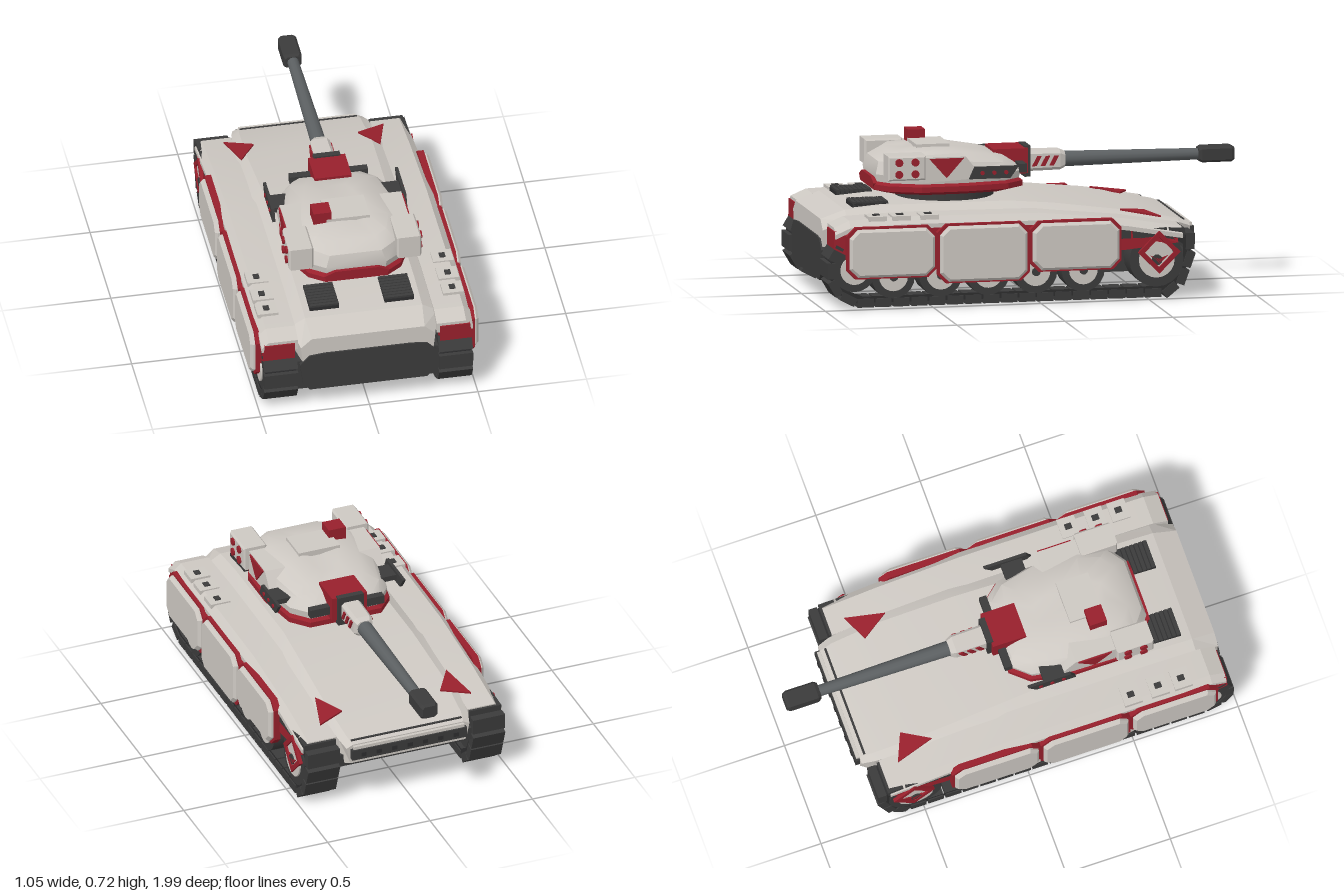
import * as THREE from 'three';
import { toCreasedNormals } from 'three/addons/utils/BufferGeometryUtils.js';

const mat = (name, color) => {
  const m = new THREE.MeshStandardMaterial({ color });
  m.name = name;
  return m;
};

// Skin a list of rings of [x,y,z] points and cap both ends, facing outward
function loft(rings, crease = 0.2) {
  const tris = [], n = rings[0].length, last = rings[rings.length - 1];
  for (let i = 0; i < rings.length - 1; i++) {
    for (let j = 0; j < n; j++) {
      const k = (j + 1) % n, a = rings[i], b = rings[i + 1];
      tris.push([a[j], a[k], b[k]], [a[j], b[k], b[j]]);
    }
  }
  for (let j = 1; j < n - 1; j++) {
    tris.push([rings[0][0], rings[0][j + 1], rings[0][j]], [last[0], last[j], last[j + 1]]);
  }
  let volume = 0;
  for (const [a, b, c] of tris) {
    volume += new THREE.Vector3(...a).dot(new THREE.Vector3(...b).cross(new THREE.Vector3(...c)));
  }
  if (volume < 0) tris.forEach((t) => t.reverse());
  const g = new THREE.BufferGeometry();
  g.setAttribute('position', new THREE.Float32BufferAttribute(tris.flat(2), 3));
  g.computeVertexNormals();
  return toCreasedNormals(g, crease);
}

// Half outline of [x,...rest] points closed by its mirror image
const both = (half) => [...half, ...half.slice().reverse().map(([x, ...r]) => [-x, ...r])];

function box(x0, x1, y0, y1, z0, z1) {
  return new THREE.BoxGeometry(x1 - x0, y1 - y0, z1 - z0)
    .translate((x0 + x1) / 2, (y0 + y1) / 2, (z0 + z1) / 2);
}

// Plate drawn as [z,y] points, thick along x from x0
function sidePlate(pts, x0, depth, holePts, bevel = 0) {
  const s = new THREE.Shape(pts.map((p) => new THREE.Vector2(...p)));
  if (holePts) s.holes.push(new THREE.Path(holePts.map((p) => new THREE.Vector2(...p))));
  return new THREE.ExtrudeGeometry(s, {
    depth: depth - bevel, bevelEnabled: bevel > 0, bevelSize: bevel, bevelThickness: bevel,
    bevelOffset: -bevel, bevelSegments: 1, curveSegments: 8,
  }).rotateY(-Math.PI / 2).translate(x0 + depth - bevel, 0, 0);
}

const octagon = (z0, z1, y0, y1, c) => [
  [z0 + c, y0], [z1 - c, y0], [z1, y0 + c], [z1, y1 - c],
  [z1 - c, y1], [z0 + c, y1], [z0, y1 - c], [z0, y0 + c]];

const disc = (r, x0, x1, y, z, n = 20) => new THREE.CylinderGeometry(r, r, x1 - x0, n)
  .rotateZ(Math.PI / 2).translate((x0 + x1) / 2, y, z);

function mirrored(geo) {
  const g = geo.index ? geo.toNonIndexed() : geo.clone();
  g.scale(-1, 1, 1);
  for (const key of Object.keys(g.attributes)) {
    const a = g.attributes[key].array, s = g.attributes[key].itemSize;
    for (let i = 0; i < a.length; i += 3 * s) {
      for (let k = 0; k < s; k++) [a[i + s + k], a[i + 2 * s + k]] = [a[i + 2 * s + k], a[i + s + k]];
    }
  }
  return g;
}

export function createModel() {
  const light = mat('pale grey', 0xcdc8c2), red = mat('crimson', 0x98202c);
  const dark = mat('charcoal', 0x3b3b3b), rubber = mat('track black', 0x2d2d2e);
  const metal = mat('gun metal', 0x5c6062);
  const model = new THREE.Group();
  model.name = 'tank';
  const add = (name, geo, m) => {
    const mesh = new THREE.Mesh(geo, m);
    mesh.name = name;
    model.add(mesh);
  };
  const pair = (name, geo, m) => {
    add(name + 'Left', geo, m);
    add(name + 'Right', mirrored(geo), m);
  };

  // Hull: z, top y, top half width, shoulder y, half width, lower y, lower half width
  const hull = [
    [0.97, 0.385, 0.26, 0.34, 0.31, 0.25, 0.30], [0.86, 0.425, 0.27, 0.385, 0.34, 0.25, 0.32],
    [0.68, 0.44, 0.27, 0.39, 0.35, 0.24, 0.32], [0.1, 0.44, 0.27, 0.39, 0.35, 0.24, 0.32],
    [-0.1, 0.425, 0.28, 0.39, 0.35, 0.24, 0.32], [-0.45, 0.38, 0.29, 0.36, 0.34, 0.22, 0.32],
    [-0.68, 0.335, 0.28, 0.32, 0.315, 0.2, 0.31], [-0.735, 0.315, 0.27, 0.30, 0.30, 0.22, 0.28]];
  add('hull', loft(hull.map(([z, yt, xt, ys, xs, yl, xl]) =>
    both([[xt, yt, z], [xs, ys, z], [xl, yl, z]]))), light);
  add('belly', loft([[0.96, 0.105, 0.26], [-0.52, 0.105, 0.26], [-0.7, 0.19, 0.25]].map(([z, a, b]) =>
    both([[0.325, b, z], [0.325, a, z]]))), dark);
  const rear = both([[0.2, 0.302], [0.27, 0.295], [0.315, 0.25], [0.30, 0.14], [0.27, 0.107]]);
  add('rearPlate', loft([rear.map(([x, y]) => [x, y, 0.95]), rear.map(([x, y]) => [x, y, 0.978])]), dark);
  add('noseLightBar', box(-0.28, 0.28, 0.245, 0.295, -0.757, -0.72), dark);
  for (let i = -3; i <= 3; i++) add('noseLamp', box(i * 0.075 - 0.012, i * 0.075 + 0.012, 0.26, 0.28, -0.762, -0.755), rubber);
  add('noseLip', box(-0.27, 0.27, 0.295, 0.31, -0.75, -0.72), light);
  add('noseSlot', box(-0.27, 0.27, 0.318, 0.327, -0.716, -0.706), dark);

  // Fenders over the tracks, with red flanks beneath
  const fender = [[0.95, 0.375], [0.88, 0.405], [0.6, 0.415], [0, 0.41], [-0.4, 0.37], [-0.66, 0.325]];
  pair('fender', loft(fender.map(([z, t]) => [
    [0.32, t - 0.05, z], [0.32, t, z], [0.455, t, z], [0.487, t - 0.03, z], [0.487, t - 0.05, z]])), light);
  pair('flank', loft([[0.955, 0.36, 0.28], [0.9, 0.37, 0.25], [0, 0.37, 0.24], [-0.4, 0.325, 0.23],
    [-0.64, 0.28, 0.255]].map(([z, t, b]) => [[0.335, b, z], [0.335, t, z], [0.473, t, z], [0.482, b, z]])), red);
  pair('hullTriangle', loft([0, -0.008].map((d) => [
    [0.368, 0.362 + d, -0.585], [0.24, 0.374 + d, -0.53], [0.32, 0.392 + d, -0.405]])), red);
  for (const z of [0.51, 0.64, 0.75]) {
    pair('fenderHatch', box(0.38, 0.475, 0.40, 0.421, z - 0.042, z + 0.042), light);
    pair('hatchVent', box(0.415, 0.442, 0.415, 0.426, z - 0.016, z + 0.016), dark);
  }

  // Engine grilles
  for (let i = 0; i < 8; i++) {
    pair('grilleSlat', box(0.105, 0.24, 0.43, 0.453, 0.652 + i * 0.021, 0.668 + i * 0.021), dark);
  }
  pair('grilleBed', box(0.105, 0.24, 0.42, 0.445, 0.65, 0.818), rubber);

  // Tracks: a belt with separate pads along the same path
  const path = [[0.85, 0.028], [-0.59, 0.028], [-0.655, 0.08], [-0.695, 0.19], [-0.697, 0.27], [-0.66, 0.3],
    [-0.58, 0.305], [0.88, 0.275], [0.94, 0.265], [0.967, 0.22], [0.965, 0.13], [0.93, 0.07]];
  const inset = path.map(([z, y]) => [0.14 + (z - 0.14) * 0.96, 0.165 + (y - 0.165) * 0.78]);
  pair('trackBelt', sidePlate(path, 0.33, 0.145, inset), rubber);
  const curve = new THREE.CurvePath();
  path.forEach((p, i) => curve.add(new THREE.LineCurve(
    new THREE.Vector2(...p), new THREE.Vector2(...path[(i + 1) % path.length]))));
  const pads = 44;
  for (let i = 0; i < pads; i++) {
    const p = curve.getPointAt((i + 0.5) / pads), t = curve.getTangentAt((i + 0.5) / pads);
    pair('trackPad', new THREE.BoxGeometry(0.156, 0.04, 0.074)
      .rotateX(-Math.atan2(t.y, t.x)).translate(0.403, Math.max(p.y, 0.02), p.x), dark);
  }

  // Road wheels and end sprockets
  const wheels = [[0.86, 0.18, 0.1], [0.68, 0.145, 0.1], [0.46, 0.145, 0.1], [0.24, 0.145, 0.1],
    [0.02, 0.145, 0.1], [-0.2, 0.145, 0.1], [-0.54, 0.18, 0.125]];
  for (const [z, y, r] of wheels) {
    pair('tyre', disc(r, 0.35, 0.478, y, z), dark);
    pair('wheelHub', disc(r * 0.66, 0.4, 0.486, y, z), light);
    pair('hubCap', disc(r * 0.2, 0.48, 0.492, y, z, 10), dark);
  }
  const diamond = (r) => [[-0.55 - r, 0.215], [-0.55, 0.215 - r], [-0.55 + r, 0.215], [-0.55, 0.215 + r]];
  pair('sprocketGuard', sidePlate(diamond(0.098), 0.475, 0.02, diamond(0.068)), red);
  pair('sprocketMark', sidePlate([[-0.59, 0.2], [-0.55, 0.16], [-0.51, 0.2], [-0.55, 0.185]], 0.48, 0.012), red);

  // Side skirts on red backing
  for (const [z0, z1, y0, y1] of [[0.495, 0.89, 0.15, 0.37], [0.065, 0.47, 0.118, 0.372], [-0.36, 0.04, 0.155, 0.37]]) {
    pair('skirtBacking', sidePlate(octagon(z0 - 0.012, z1 + 0.012, y0 - 0.008, y1 + 0.01, 0.04), 0.475, 0.03), red);
    pair('skirt', sidePlate(octagon(z0, z1, y0, y1, 0.04), 0.495, 0.031, null, 0.012), light);
  }

  // Turret
  add('turretRing', new THREE.CylinderGeometry(0.225, 0.225, 0.06, 24).translate(0, 0.46, 0.34), dark);
  const plan = [[0.14, 0.69], [0.21, 0.64], [0.275, 0.5], [0.275, 0.3], [0.24, 0.1], [0.17, 0.02]];
  const level = (y, s) => both(plan.map(([x, z]) => [x * s, y, 0.35 + (z - 0.35) * s]));
  add('turretSkirt', loft([level(0.472, 0.84), level(0.49, 1.02), level(0.515, 1.02), level(0.53, 0.96)]), red);
  add('turretRearTrim', loft([0.62, 0.7].map((z) =>
    both([[0.10, 0.543, z], [0.15, 0.52, z], [0.14, 0.5, z]]))), red);
  add('turretBody', loft([level(0.52, 0.97), level(0.56, 0.99),
    both([[0.12, 0.615, 0.67], [0.2, 0.62, 0.61], [0.25, 0.625, 0.49], [0.24, 0.62, 0.3], [0.2, 0.605, 0.11], [0.14, 0.59, 0.04]]),
    both([[0.10, 0.652, 0.61], [0.16, 0.658, 0.57], [0.19, 0.662, 0.47], [0.17, 0.655, 0.3], [0.14, 0.635, 0.16], [0.1, 0.622, 0.09]]),
    both([[0.04, 0.665, 0.53], [0.07, 0.669, 0.5], [0.09, 0.671, 0.45], [0.09, 0.671, 0.35], [0.06, 0.66, 0.25], [0.04, 0.65, 0.2]])],
  0.55), light);
  add('roofHatch', box(-0.1, 0.1, 0.65, 0.683, 0.335, 0.49), light);
  add('sightBox', box(-0.16, -0.077, 0.65, 0.722, 0.41, 0.49), red);

  // Launcher boxes, side triangles and side louvres
  pair('launcher', sidePlate([[0.49, 0.552], [0.665, 0.552], [0.665, 0.665], [0.49, 0.665]], 0.2, 0.105, null, 0.008), light);
  for (const z of [0.54, 0.615]) {
    for (const y of [0.582, 0.636]) pair('launcherCap', disc(0.018, 0.3, 0.314, y, z, 12), red);
  }
  pair('cheekBlock', sidePlate([[0.49, 0.535], [0.49, 0.65], [0.3, 0.65], [0.22, 0.55]], 0.18, 0.1), light);
  pair('cheekTriangle', sidePlate([[0.39, 0.555], [0.47, 0.645], [0.31, 0.645]], 0.275, 0.012), red);
  pair('louvreArm', box(0.2, 0.3, 0.565, 0.59, 0.14, 0.24), dark);
  pair('louvre', sidePlate([[0.29, 0.55], [0.265, 0.605], [0.06, 0.605], [0.1, 0.55]], 0.297, 0.014), dark);
  for (let i = 0; i < 3; i++) pair('louvreLamp', disc(0.01, 0.3, 0.316, 0.577, 0.12 + i * 0.055, 8), red);

  // Gun with mantlet, sleeve and muzzle
  add('mantletHood', box(-0.085, 0.085, 0.53, 0.645, -0.03, 0.13), red);
  add('mantlet', box(-0.062, 0.062, 0.51, 0.652, -0.048, -0.02), dark);
  pair('mantletPin', box(0.06, 0.18, 0.55, 0.59, -0.005, 0.03), dark);
  add('gunSleeve', loft([[-0.215, 0.036], [-0.19, 0.045], [-0.04, 0.047]].map(([z, r]) =>
    octagon(-r, r, 0.578 - r, 0.578 + r, 0.014).map(([x, y]) => [x, y, z]))), light);
  for (const z of [-0.07, -0.11, -0.15]) {
    pair('sleeveSlash', sidePlate([[z + 0.012, 0.555], [z - 0.012, 0.6], [z - 0.032, 0.6], [z - 0.008, 0.555]], 0.043, 0.009), red);
  }
  add('barrel', new THREE.CylinderGeometry(0.036, 0.026, 0.66, 12).rotateX(Math.PI / 2).translate(0, 0.577, -0.53), metal);
  add('muzzle', loft([[-1, 0.034], [-0.985, 0.042], [-0.85, 0.042], [-0.835, 0.034]].map(([z, r]) =>
    octagon(-r, r, 0.577 - r * 0.85, 0.577 + r * 0.85, 0.01).map(([x, y]) => [x, y, z]))), dark);
  return model;
}
